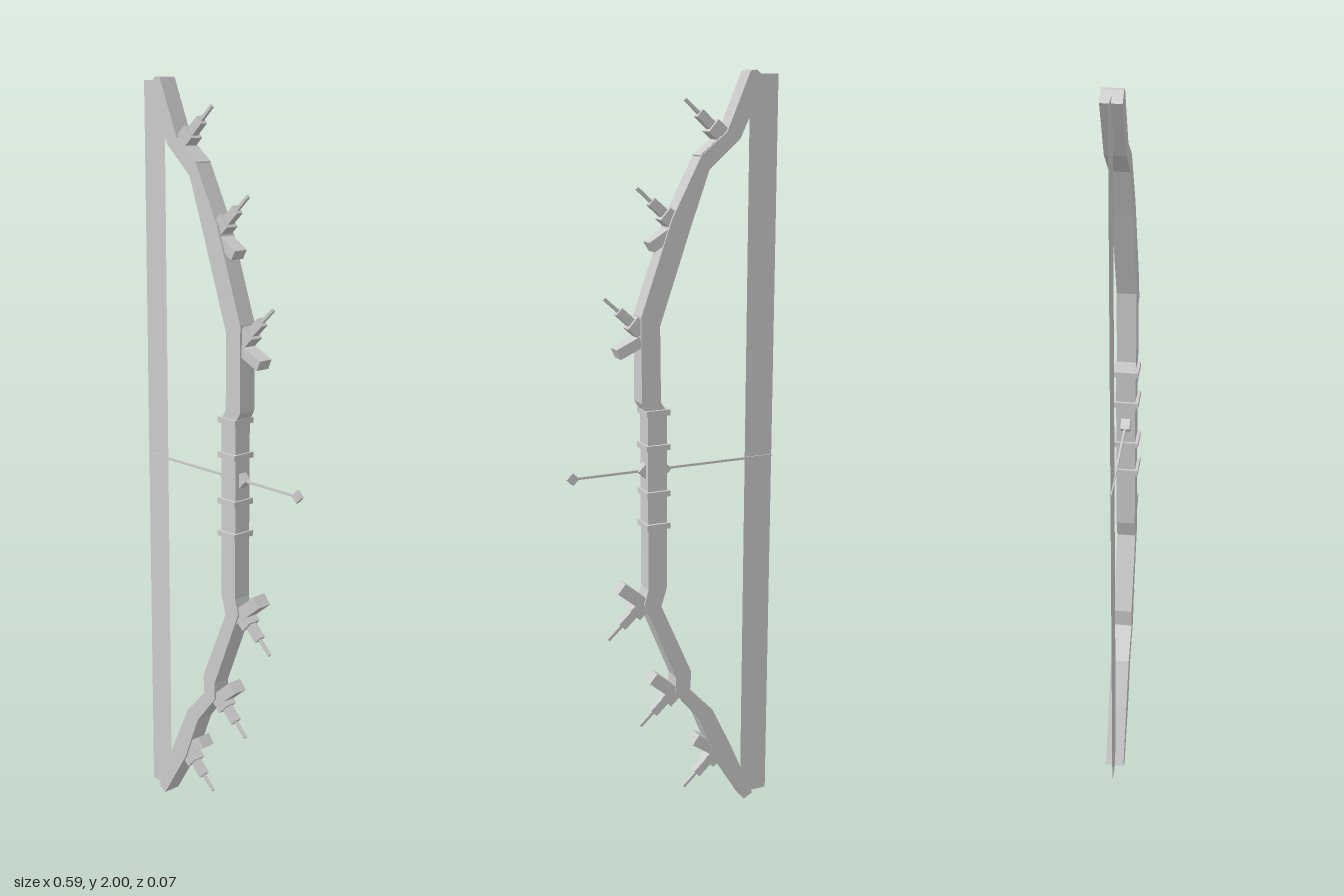
import * as THREE from 'three';

const grey = new THREE.MeshStandardMaterial({ color: 0xcccccc, side: THREE.DoubleSide });
grey.name = 'plain grey';

export function createModel() {
  const group = new THREE.Group();

  const add = (name, geometry, x = 0, y = 0, z = 0, angle = 0) => {
    const mesh = new THREE.Mesh(geometry, grey);
    mesh.name = name;
    mesh.position.set(x, y, z);
    mesh.rotation.z = angle;
    group.add(mesh);
    return mesh;
  };
  // box laid along a line in the xy plane
  const bar = (name, a, b, width, depth) => add(name,
    new THREE.BoxGeometry(Math.hypot(b[0] - a[0], b[1] - a[1]), width, depth),
    (a[0] + b[0]) / 2, (a[1] + b[1]) / 2, 0, Math.atan2(b[1] - a[1], b[0] - a[0]));

  // angular bow stave: string side down, then outer side up
  const inner = [[-0.246, 1.979], [-0.177, 1.835], [-0.092, 1.761], [-0.044, 1.629], [0.043, 1.379],
    [0.041, 1.183], [0.025, 1.156], [0.025, 0.679], [0.041, 0.626], [-0.047, 0.424],
    [-0.044, 0.371], [-0.113, 0.297], [-0.171, 0.175], [-0.24, 0.016]];
  const outer = [[-0.214, 0.002], [-0.124, 0.149], [-0.071, 0.281], [-0.002, 0.366], [-0.002, 0.414],
    [0.089, 0.637], [0.078, 0.679], [0.078, 1.156], [0.094, 1.183], [0.094, 1.406],
    [0.009, 1.645], [-0.071, 1.798], [-0.14, 1.851], [-0.203, 1.998], [-0.22, 2.0]];
  const outline = new THREE.Shape([...inner, ...outer].map(([x, y]) => new THREE.Vector2(x, y)));
  add('stave', new THREE.ExtrudeGeometry(outline, { depth: 0.05, bevelEnabled: false }), 0, 0, -0.025);

  // flat string
  add('string', new THREE.PlaneGeometry(0.08, 1.98), -0.254, 1.0, 0);

  // raised bands round the grip
  for (const y of [1.156, 1.064, 0.94, 0.852]) {
    add('gripBand', new THREE.BoxGeometry(0.065, 0.015, 0.066), 0.051, y, 0);
  }

  // stepped thorns, mirrored on both limbs
  const steps = [[0, 0.055, 0.008, 0.008], [0.05, 0.1, 0.024, 0.02], [0.095, 0.13, 0.04, 0.037]];
  for (const [x, y] of [[-0.036, 0.931], [0.094, 0.721], [0.184, 0.454]]) {
    for (const side of [1, -1]) {
      const at = (t) => [x - 0.74 * t, 1 + side * (y - 0.67 * t)];
      for (const [from, to, width, depth] of steps) bar('thorn', at(to), at(from), width, depth);
    }
  }

  // blunt stubs beside the thorns
  for (const [a, b] of [[[-0.14, 1.835], [-0.075, 1.785]], [[-0.007, 1.618], [0.062, 1.576]],
    [[0.067, 1.353], [0.154, 1.313]]]) bar('upperStub', a, b, 0.028, 0.04);
  for (const [a, b] of [[[-0.14, 0.16], [-0.065, 0.212]], [[-0.012, 0.355], [0.062, 0.419]],
    [[0.067, 0.62], [0.152, 0.69]]]) bar('lowerStub', a, b, 0.033, 0.04);

  // arrow: shaft, diamond head and the diamond rest on each side of the grip
  bar('arrowShaft', [-0.293, 1], [0.275, 1], 0.006, 0.006);
  add('arrowHead', new THREE.BoxGeometry(0.024, 0.024, 0.01), 0.276, 1, 0, Math.PI / 4);
  for (const x of [0.025, 0.078]) {
    add('arrowRest', new THREE.BoxGeometry(0.028, 0.028, 0.024), x, 1, 0, Math.PI / 4);
  }
  return group;
}
